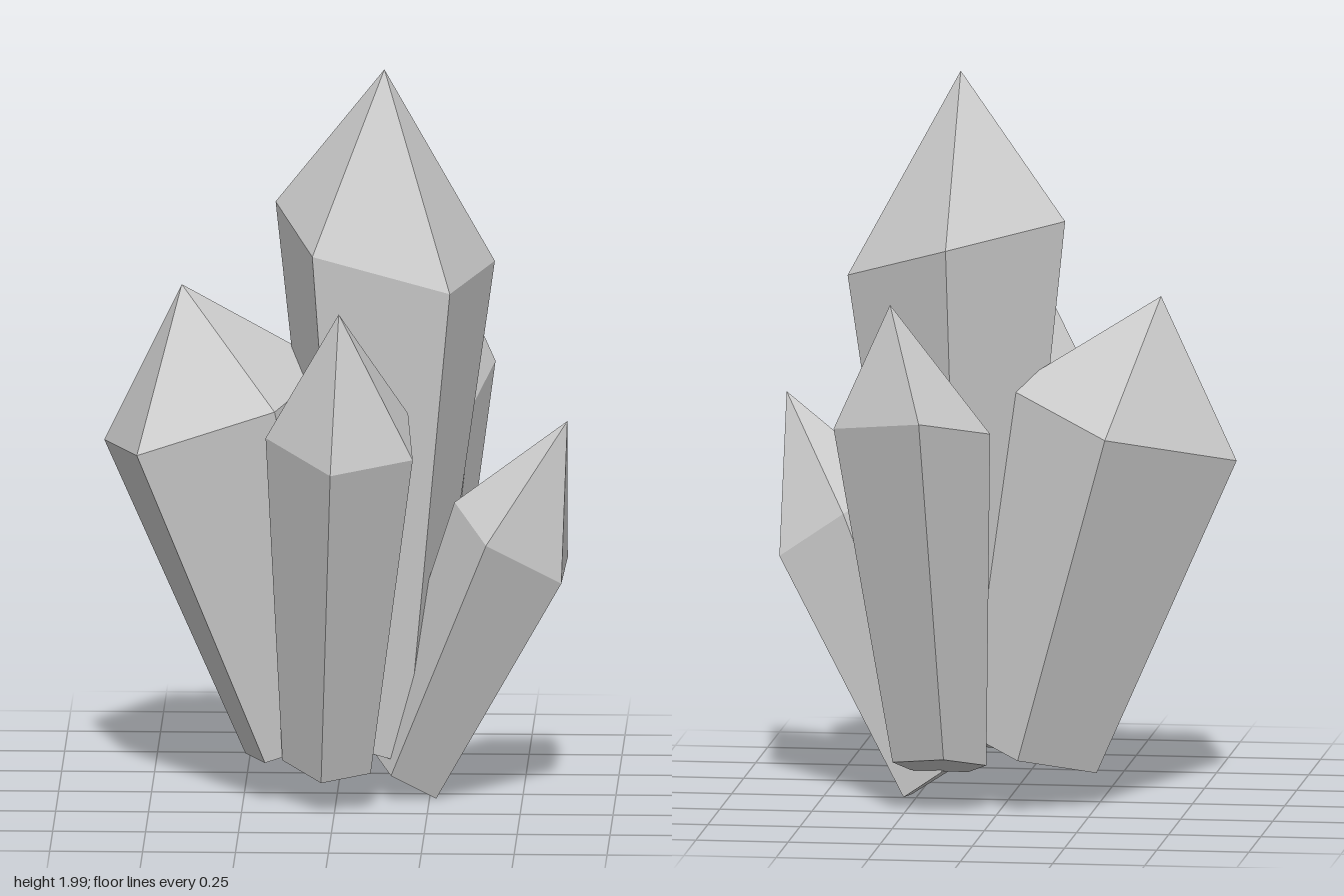
import * as THREE from 'three';

// Each crystal: tip, shoulder centre height, shoulder outline as [x, z] seen from above,
// slope of the cut planes in x and z, foot centre, and foot size relative to the shoulder.
const CRYSTALS = [
  { name: 'mainCrystal', tip: [0.126, 2, -0.02], height: 1.52, slope: [-0.27, -0.13],
    outline: [[0.126, -0.34], [-0.17, -0.12], [-0.06, 0.23], [0.31, 0.23], [0.42, -0.12]],
    foot: [0.11, 0.15, -0.01], footScale: 0.42 },
  { name: 'leftwardCrystal', tip: [-0.42, 1.4, -0.04], height: 1.06, slope: [0.32, 0.02],
    outline: [[-0.31, -0.37], [-0.63, -0.08], [-0.53, 0.3], [-0.16, 0.28], [-0.02, -0.14]],
    foot: [-0.07, 0.16, -0.03], footScale: 0.6 },
  { name: 'frontCrystal', tip: [0.02, 1.44, 0.505], height: 1.08, slope: [0.03, -0.34],
    outline: [[-0.18, 0.405], [0, 0.6], [0.22, 0.53], [0.2, 0.3], [-0.03, 0.23]],
    foot: [-0.01, 0.135, 0.155], footScale: 0.6 },
  { name: 'backCrystal', tip: [0.255, 1.44, -0.505], height: 1.07, slope: [0, -0.32],
    outline: [[0.165, -0.6], [-0.01, -0.455], [0.1, -0.24], [0.355, -0.26], [0.41, -0.49]],
    foot: [0.16, 0.13, -0.185], footScale: 0.6 },
  { name: 'smallCrystal', tip: [0.625, 1.08, 0.185], height: 0.74, slope: [-0.67, -0.13],
    outline: [[0.32, 0.14], [0.41, 0.31], [0.61, 0.22], [0.62, -0.005], [0.44, -0.06]],
    foot: [0.19, 0.07, 0], footScale: 0.6 },
];

// Tapered prism with slanted ends and a pointed cap
function crystalGeometry({ tip, height, slope, outline, foot, footScale }) {
  const n = outline.length;
  const cx = outline.reduce((s, p) => s + p[0], 0) / n;
  const cz = outline.reduce((s, p) => s + p[1], 0) / n;
  const ring = ([ox, oy, oz], scale) => outline.map(([x, z]) => {
    const dx = (x - cx) * scale, dz = (z - cz) * scale;
    return [ox + dx, oy + dx * slope[0] + dz * slope[1], oz + dz];
  });
  const shoulder = ring([cx, height, cz], 1);
  const base = ring(foot, footScale);

  const positions = [];
  const face = (...corners) => corners.forEach((c) => positions.push(...c));
  for (let i = 0; i < n; i++) {
    const j = (i + 1) % n;
    face(shoulder[i], shoulder[j], tip);      // point
    face(base[i], base[j], shoulder[j]);      // side
    face(base[i], shoulder[j], shoulder[i]);
    face(foot, base[j], base[i]);             // underside
  }
  const geometry = new THREE.BufferGeometry();
  geometry.setAttribute('position', new THREE.Float32BufferAttribute(positions, 3));
  geometry.computeVertexNormals();
  return geometry;
}

export function createModel() {
  const group = new THREE.Group();
  group.name = 'crystalCluster';
  const material = new THREE.MeshStandardMaterial({ color: 0xcccccc, flatShading: true });
  for (const crystal of CRYSTALS) {
    const mesh = new THREE.Mesh(crystalGeometry(crystal), material);
    mesh.name = crystal.name;
    group.add(mesh);
  }
  return group;
}
